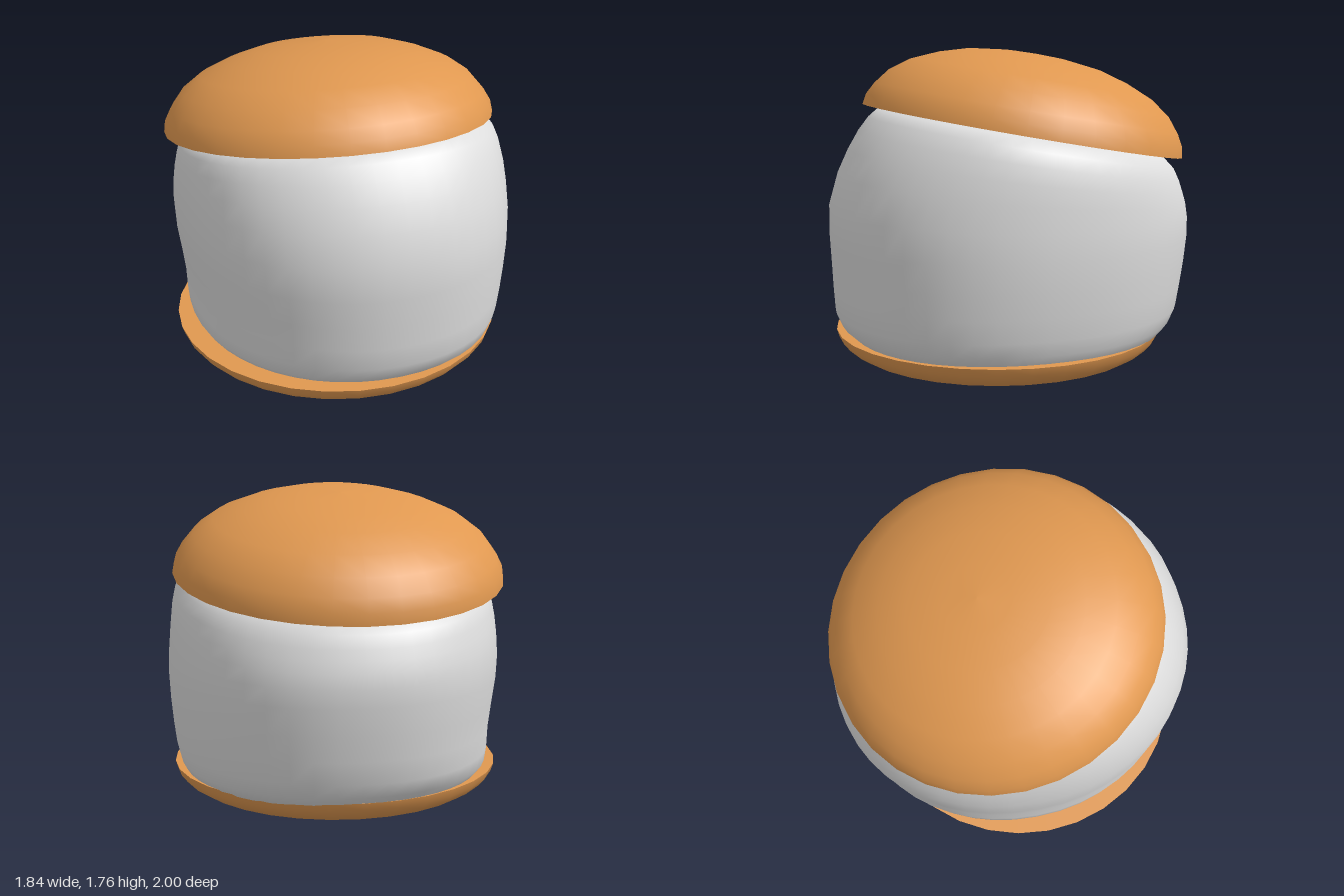
import * as THREE from 'three';

const biscuitMat = new THREE.MeshStandardMaterial({ name: 'toasted biscuit', color: 0xe09850 });
const creamMat = new THREE.MeshStandardMaterial({ name: 'soft white', color: 0xdedede });

// Soft filling: rings of [height, -x, +x, back z, front z]; upper rings lean with the tilted lid
function fillingGeometry() {
  const rings = [
    [0.17, 0.72, 0.74, 0.74, 0.80],
    [0.21, 0.80, 0.83, 0.83, 0.88],
    [0.27, 0.835, 0.86, 0.90, 0.945],
    [0.35, 0.842, 0.88, 0.94, 0.98],
    [0.47, 0.845, 0.895, 0.96, 0.988],
    [0.60, 0.86, 0.907, 0.98, 0.993],
    [0.75, 0.88, 0.915, 0.997, 1.0],
    [0.88, 0.886, 0.91, 0.997, 0.998],
    [1.00, 0.88, 0.90, 0.985, 0.945],
    [1.09, 0.87, 0.89, 0.965, 0.885],
    [1.17, 0.855, 0.872, 0.945, 0.825],
    [1.24, 0.838, 0.845, 0.915, 0.765],
    [1.29, 0.80, 0.80, 0.86, 0.715],
    [1.34, 0.66, 0.66, 0.70, 0.58],
  ];
  const n = 48, pos = [], index = [];
  const power = (v) => Math.sign(v) * Math.abs(v) ** (2 / 2.12);
  for (const [h, xl, xr, zb, zf] of rings) {
    const lean = 0.185 * THREE.MathUtils.smoothstep(h, 0.7, 1.27);
    for (let i = 0; i < n; i++) {
      const a = (i / n) * Math.PI * 2;
      const s = power(Math.sin(a)), c = power(Math.cos(a));
      const z = c * (c > 0 ? zf : zb);
      const x = s * (s > 0 ? xr : xl) + 0.05 * Math.max(0, c) ** 2;
      pos.push(x, h + lean * (z + 0.09), z);
    }
  }
  for (let j = 0; j < rings.length - 1; j++) {
    for (let i = 0; i < n; i++) {
      const a = j * n + i, b = j * n + (i + 1) % n;
      index.push(a, b, b + n, a, b + n, a + n);
    }
  }
  // close bottom and top
  const bottom = pos.length / 3, top = bottom + 1, last = (rings.length - 1) * n;
  pos.push(0, 0.16, 0, 0, 1.37, -0.05);
  for (let i = 0; i < n; i++) {
    const k = (i + 1) % n;
    index.push(bottom, k, i, top, last + i, last + k);
  }
  const geo = new THREE.BufferGeometry();
  geo.setAttribute('position', new THREE.Float32BufferAttribute(pos, 3));
  geo.setIndex(index);
  geo.computeVertexNormals();
  return geo;
}

// Rounded shell plus a flat face closing its open side
function biscuit(name, profile, radius, faceY, faceUp) {
  const group = new THREE.Group();
  group.name = name;
  const points = profile.map(([r, y]) => new THREE.Vector2(r, y));
  const shell = new THREE.Mesh(new THREE.LatheGeometry(points, 32), biscuitMat);
  shell.name = name + 'Shell';
  const face = new THREE.Mesh(new THREE.CircleGeometry(radius, 32), biscuitMat);
  face.name = name + 'FlatFace';
  face.rotation.x = faceUp ? -Math.PI / 2 : Math.PI / 2;
  face.position.y = faceY;
  group.add(shell, face);
  return group;
}

export function createModel() {
  const model = new THREE.Group();
  model.name = 'filledBiscuit';

  const base = biscuit('base', [
    [0, 0.005], [0.2, 0.01], [0.42, 0.03], [0.65, 0.07], [0.8, 0.107],
    [0.86, 0.145], [0.893, 0.185], [0.905, 0.225],
  ], 0.905, 0.225, true);
  base.position.set(-0.015, 0, 0.055);

  const lid = biscuit('lid', [
    [0.895, 0], [0.885, 0.06], [0.85, 0.125], [0.785, 0.208], [0.68, 0.285],
    [0.53, 0.35], [0.37, 0.397], [0.18, 0.422], [0, 0.43],
  ], 0.895, 0, false);
  lid.position.set(-0.01, 1.303, -0.09);
  lid.rotation.x = -0.183;

  const filling = new THREE.Mesh(fillingGeometry(), creamMat);
  filling.name = 'filling';

  model.add(base, filling, lid);
  return model;
}
